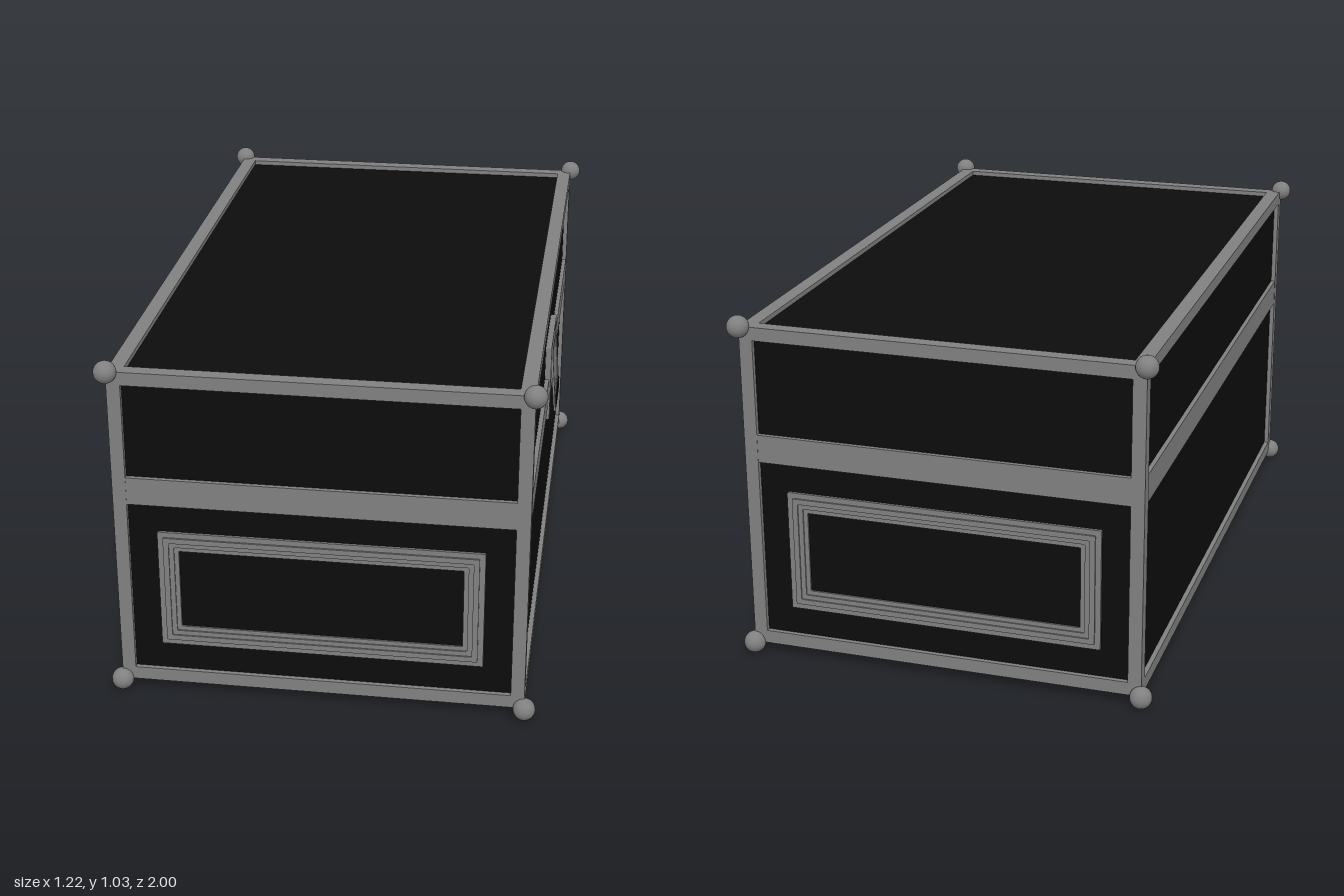
import * as THREE from 'three';
import { RoundedBoxGeometry } from 'three/addons/geometries/RoundedBoxGeometry.js';

const metal = new THREE.MeshStandardMaterial({ color: 0x808080 });
metal.name = 'grey metal';
const black = new THREE.MeshStandardMaterial({ color: 0x0c0c0c });
black.name = 'black panel';

// Case extents (corner to corner)
const X = 0.58, Z = 0.965, Y0 = 0.033, Y1 = 1.0;
const H = Y1 - Y0, MID = (Y0 + Y1) / 2, RECESS = 0.014;

function add(parent, name, geometry, material, x = 0, y = 0, z = 0) {
  const mesh = new THREE.Mesh(geometry, material);
  mesh.name = name;
  mesh.position.set(x, y, z);
  parent.add(mesh);
  return mesh;
}

// Rectangle outline, optionally with rounded corners
function rect(Type, w, h, r = 0.004) {
  const s = new Type(), a = w / 2, b = h / 2;
  s.moveTo(-a + r, -b);
  s.lineTo(a - r, -b);
  s.quadraticCurveTo(a, -b, a, -b + r);
  s.lineTo(a, b - r);
  s.quadraticCurveTo(a, b, a - r, b);
  s.lineTo(-a + r, b);
  s.quadraticCurveTo(-a, b, -a, b - r);
  s.lineTo(-a, -b + r);
  s.quadraticCurveTo(-a, -b, -a + r, -b);
  return s;
}

// Flat rectangular ring extruded along +z
function ring(w, h, border, depth, r) {
  const shape = rect(THREE.Shape, w, h, r);
  shape.holes.push(rect(THREE.Path, w - 2 * border, h - 2 * border, r));
  return new THREE.ExtrudeGeometry(shape, { depth, bevelEnabled: false, curveSegments: 5 });
}

function endFrame() {
  const g = new THREE.Group();
  g.name = 'endFrame';
  // Nested steps: outer width, height, border, depth
  const steps = [
    [0.92, 0.36, 0.018, 0.008],
    [0.888, 0.328, 0.016, 0.013],
    [0.86, 0.30, 0.016, 0.009],
    [0.834, 0.274, 0.016, 0.005],
  ];
  for (const [w, h, b, d] of steps) add(g, 'frameStep', ring(w, h, b, d), metal);
  return g;
}

function latch() {
  const g = new THREE.Group();
  g.name = 'latch';
  // Backing plate with a thin raised border
  add(g, 'latchPlate', new THREE.ExtrudeGeometry(rect(THREE.Shape, 0.27, 0.246, 0.008),
    { depth: 0.016, bevelEnabled: false }), metal, 0, 0, -0.014);
  add(g, 'latchBorder', ring(0.27, 0.246, 0.014, 0.004, 0.008), metal);
  // Tilted paddle, its lower edge standing out
  const paddle = new THREE.Group();
  paddle.name = 'latchPaddle';
  paddle.position.set(0, 0.088, 0.001);
  paddle.rotation.x = -0.085;
  g.add(paddle);
  add(paddle, 'paddlePlate', new THREE.ExtrudeGeometry(rect(THREE.Shape, 0.2, 0.146, 0.03),
    { depth: 0.004, bevelEnabled: false }), metal, 0, -0.073, -0.002);
  add(paddle, 'paddleRim', ring(0.21, 0.156, 0.012, 0.007, 0.03), metal, 0, -0.073, -0.002);
  for (const s of [-1, 1])
    add(paddle, 'paddleArm', new THREE.BoxGeometry(0.02, 0.06, 0.006), metal, s * 0.09, -0.165, 0.001);
  // Dark finger grip at the bottom
  add(g, 'latchGrip', new RoundedBoxGeometry(0.15, 0.046, 0.022, 2, 0.004), black, 0, -0.085, 0.012);
  return g;
}

export function createModel() {
  const model = new THREE.Group();
  model.name = 'flightCase';

  // Recessed panels and the band where lid meets body
  add(model, 'panels', new THREE.BoxGeometry(2 * (X - RECESS), H - 2 * RECESS, 2 * (Z - RECESS)), black, 0, MID, 0);
  add(model, 'middleBand', new THREE.BoxGeometry(2 * X - 0.002, 0.082, 2 * Z - 0.002), metal, 0, 0.641, 0);

  const balls = new THREE.SphereGeometry(0.032, 24, 16);
  const post = new THREE.BoxGeometry(0.039, H, 0.039);
  const railX = new THREE.BoxGeometry(2 * X, 0.039, 0.042);
  const railZ = new THREE.BoxGeometry(0.043, 0.039, 2 * Z);

  for (const sx of [-1, 1]) {
    for (const sz of [-1, 1]) {
      // Upright corner posts and ball corners
      add(model, 'cornerPost', post, metal, sx * (X - 0.0195), MID, sz * (Z - 0.0195));
      for (const y of [Y0, Y1]) add(model, 'ballCorner', balls, metal, sx * X, y, sz * (Z + 0.003));
    }
  }
  // Horizontal edge rails
  for (const y of [Y0 + 0.0195, Y1 - 0.0195]) {
    for (const s of [-1, 1]) {
      add(model, 'endRail', railX, metal, 0, y, s * (Z - 0.021));
      add(model, 'sideRail', railZ, metal, s * (X - 0.0215), y, 0);
    }
  }

  // Stepped frames on both ends
  for (const s of [-1, 1]) {
    const frame = endFrame();
    frame.position.set(0, 0.336, s * (Z - RECESS));
    if (s < 0) frame.rotation.y = Math.PI;
    model.add(frame);
  }

  // Latch on the left side
  const clasp = latch();
  clasp.position.set(X, 0.668, 0);
  clasp.rotation.y = Math.PI / 2;
  model.add(clasp);

  return model;
}
